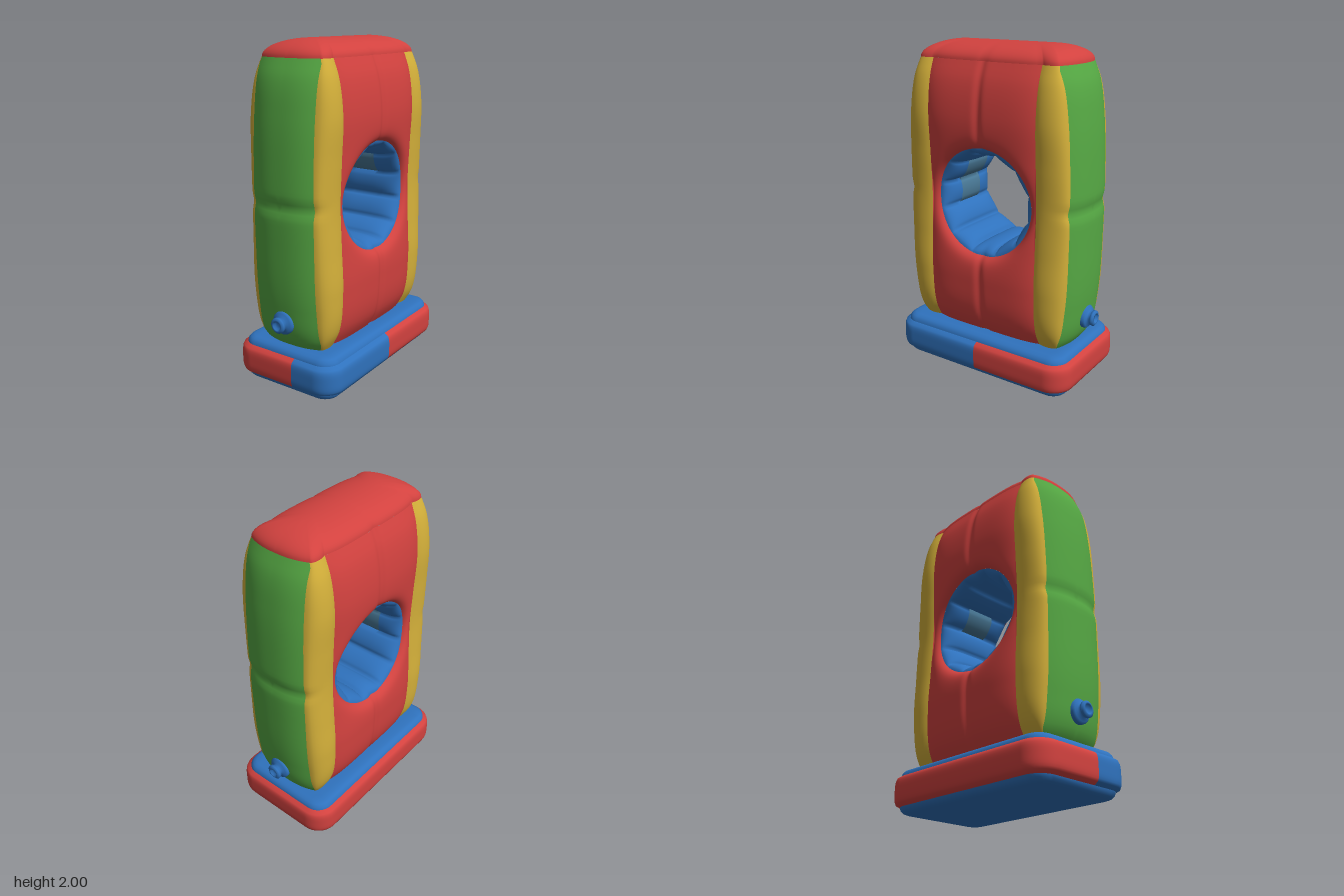
import * as THREE from 'three';
import { mergeGeometries, mergeVertices } from 'three/addons/utils/BufferGeometryUtils.js';

const mat = (name, color) => new THREE.MeshStandardMaterial({ name, color });

const HOLE_Y = 1.085, HOLE_R = 0.325, BOTTOM = 0.25, TOP = 1.9, SIDE_Z = 0.37;

// Height curves: half width of the body and how far its ends reach forward
const curve = (xs, ys) => {
  const c = new THREE.CubicInterpolant(xs, ys, 1, [0]);
  return (y) => c.evaluate(y)[0];
};
const widthAt = curve(
  [0.25, 0.35, 0.6, 0.85, 1.1, 1.35, 1.6, 1.8, 1.9],
  [0.215, 0.27, 0.3, 0.29, 0.28, 0.29, 0.3, 0.27, 0.23]);
const depthAt = curve(
  [0.25, 0.3, 0.5, 0.9, 1.3, 1.6, 1.8, 1.9],
  [0.51, 0.545, 0.585, 0.603, 0.6, 0.582, 0.55, 0.51]);
const pinch = (d, w) => Math.exp(-((d / w) ** 2));

const sideX = (y, z) =>
  widthAt(y) * (1 - 0.1 * (Math.abs(z) / SIDE_Z) ** 5 - 0.04 * pinch(z, 0.025));
const frontZ = (y, x) =>
  depthAt(y) - 0.014 * pinch(y - 1.1, 0.035) - 0.045 * (Math.abs(x) / 0.21) ** 2.5;

// Surface patch from a rule fn(u, v) -> [x, y, z], optionally mirrored
function patch(fn, nu, nv, flip = false, mx = 1, mz = 1) {
  const pos = [], idx = [], turn = flip !== (mx * mz < 0);
  for (let j = 0; j <= nv; j++) {
    for (let i = 0; i <= nu; i++) {
      const [x, y, z] = fn(i / nu, j / nv);
      pos.push(x * mx, y, z * mz);
    }
  }
  for (let j = 0; j < nv; j++) {
    for (let i = 0; i < nu; i++) {
      const a = j * (nu + 1) + i, b = a + 1, c = a + nu + 1, d = c + 1;
      if (turn) idx.push(a, c, b, b, c, d);
      else idx.push(a, b, c, b, d, c);
    }
  }
  const g = new THREE.BufferGeometry();
  g.setAttribute('position', new THREE.Float32BufferAttribute(pos, 3));
  g.setIndex(idx);
  return g;
}

const SIGNS = [[1, 1], [1, -1], [-1, 1], [-1, -1]];
const mirrored = (fn, nu, nv) => SIGNS.map(([mx, mz]) => patch(fn, nu, nv, true, mx, mz));

function smoothMesh(name, patches, material) {
  const g = mergeVertices(mergeGeometries(patches), 1e-4);
  g.computeVertexNormals();
  const m = new THREE.Mesh(g, material);
  m.name = name;
  return m;
}

// Yellow corner section, running from the side panel round to the end panel
function cornerPoint(u, y) {
  const x0 = sideX(y, SIDE_Z), x1 = Math.min(0.208, widthAt(y) * 0.86), z1 = frontZ(y, x1);
  const bez = (a, b, c, d) =>
    a * (1 - u) ** 3 + 3 * b * u * (1 - u) ** 2 + 3 * c * u * u * (1 - u) + d * u ** 3;
  return [bez(x0, x0 * 1.1, x0 * 1.04, x1), y, bez(SIDE_Z, SIDE_Z + 0.05, z1 - 0.005, z1)];
}

// Green end section, from the corner to the centre line
function endPoint(u, y) {
  const x = Math.min(0.208, widthAt(y) * 0.86) * (1 - u);
  return [x, y, frontZ(y, x)];
}

// A quarter of the whole body outline at the top edge
function topOutline(u) {
  if (u <= 1 / 3) return [sideX(TOP, u * 3 * SIDE_Z), TOP, u * 3 * SIDE_Z];
  return u <= 2 / 3 ? cornerPoint(u * 3 - 1, TOP) : endPoint(u * 3 - 2, TOP);
}

const rimX = (y, z) => sideX(y, z) * 0.86;

// Side panel stretched between the round opening and its rectangular border
function sidePoint(p, q) {
  const a = Math.PI * (0.5 - p);
  const hz = Math.cos(a) * HOLE_R, hy = HOLE_Y + Math.sin(a) * HOLE_R;
  const bz = SIDE_Z * Math.min(1, p * 4, (1 - p) * 4);
  const by = THREE.MathUtils.lerp(TOP, BOTTOM, THREE.MathUtils.clamp((p - 0.25) * 2, 0, 1));
  const k = q ** 1.8;
  const z = hz + (bz - hz) * k, y = hy + (by - hy) * k;
  const d = Math.hypot(z, y - HOLE_Y) - HOLE_R;
  const round = q === 1 ? 0 : 0.14 * Math.exp(-Math.max(d, 0) / 0.025);
  return [sideX(y, z) * (1 - round), y, z];
}

// Scalloped tunnel lining: a is the angle, s runs from -1 to 1 across the width
function tunnelPoint(a, s) {
  const rx = rimX(HOLE_Y + Math.sin(a) * HOLE_R, Math.cos(a) * HOLE_R);
  const inner = 0.297 - 0.035 * Math.sqrt(Math.abs(Math.cos(6 * a)));
  const r = HOLE_R - (HOLE_R - inner) * Math.sqrt(Math.max(0, 1 - s ** 4));
  return [s * rx, HOLE_Y + Math.sin(a) * r, Math.cos(a) * r];
}

// Base outline: core points with outward directions
function baseOutline() {
  const cx = 0.225, cz = 0.485, out = [[0.08, cz, 0, 1]];
  const corners = [[1, 1, 90], [1, -1, 0], [-1, -1, -90], [-1, 1, -180]];
  corners.forEach(([sx, sz, start], i) => {
    for (let k = 0; k <= 8; k++) {
      const a = THREE.MathUtils.degToRad(start - k * 11.25);
      out.push([sx * cx, sz * cz, Math.cos(a), Math.sin(a)]);
    }
    if (i === 0) out.push([cx, 0, 1, 0]);
  });
  out.push(out[0]);
  return out;
}

// Sweep a profile of [radius, y, coreScale] along part of the base outline
function baseStrip(profile, from, to) {
  const line = baseOutline().slice(from, to);
  const nu = line.length - 1, nv = profile.length - 1;
  return patch((u, v) => {
    const [cx, cz, nx, nz] = line[Math.round(u * nu)];
    const [r, y, k] = profile[Math.round(v * nv)];
    return [cx * k + nx * r, y, cz * k + nz * r];
  }, nu, nv);
}

export function createModel() {
  const red = mat('red', 0xd2423f), green = mat('green', 0x56a944);
  const yellow = mat('yellow', 0xd4b03a), blue = mat('blue', 0x2f72bd);
  const steel = mat('steelBlue', 0x4a7a98);
  const model = new THREE.Group();
  model.name = 'inflatableTower';

  // Upright body
  const yAt = (v) => BOTTOM + (TOP - BOTTOM) * v;
  model.add(smoothMesh('sidePanels', mirrored(sidePoint, 128, 24), red));
  model.add(smoothMesh('cornerColumns', mirrored((u, v) => cornerPoint(u, yAt(v)), 10, 64), yellow));
  model.add(smoothMesh('endPanels', mirrored((u, v) => endPoint(u, yAt(v)), 10, 64), green));

  // Domed top cushion
  model.add(smoothMesh('topCushion', mirrored((u, v) => {
    const [x, y, z] = topOutline(u), t = 1 - Math.cos(v * Math.PI / 2);
    return [x * (1 - t), y + 0.1 * Math.sin(v * Math.PI / 2), z * (1 - 0.42 * t)];
  }, 36, 14), red));

  // Tunnel of twelve padded cells, a few with a pale centre patch
  const lining = [], patches = [], bands = [[-1, -0.4], [-0.4, 0.4], [0.4, 1]];
  for (let c = 0; c < 12; c++) {
    bands.forEach(([s0, s1], b) => {
      const g = patch((u, v) => tunnelPoint(
        (c - 0.5 + u) * Math.PI / 6, s0 + (s1 - s0) * (b === 0 ? v * v : b === 2 ? 1 - (1 - v) ** 2 : v)), 10, 8);
      (b === 1 && [0, 1, 5].includes(c) ? patches : lining).push(g);
    });
  }
  model.add(smoothMesh('tunnelLining', lining, blue));
  model.add(smoothMesh('tunnelPatches', patches, steel));

  // Base cushion with a two-coloured bulging band
  const top = [[0.1, 0.22, 1], [0.096, 0.236, 1], [0.082, 0.251, 1], [0.06, 0.259, 1], [0.02, 0.261, 1], [0, 0.261, 0]];
  const bottom = top.map(([r, y, k]) => [r, 0.261 - y, k]).reverse();
  const band = [];
  for (let i = 0; i <= 12; i++) {
    const t = -1 + i / 6;
    band.push([0.1 + 0.035 * Math.sqrt(1 - t ** 4), 0.13 + 0.09 * t, 1]);
  }
  model.add(smoothMesh('baseTop', [baseStrip(top)], blue));
  model.add(smoothMesh('baseBottom', [baseStrip(bottom)], blue));
  model.add(smoothMesh('baseBandBlue', [baseStrip(band, 0, 11)], blue));
  model.add(smoothMesh('baseBandRed', [baseStrip(band, 10)], red));

  // Air valves at both ends
  const valveProfile = [[0.07, -0.01], [0.07, 0.014], [0.06, 0.026], [0.04, 0.03], [0.034, 0.044],
    [0.046, 0.048], [0.047, 0.062], [0.036, 0.07], [0.026, 0.07], [0.022, 0.055], [0, 0.055]];
  const valve = new THREE.LatheGeometry(valveProfile.map(([r, y]) => new THREE.Vector2(r, y)), 28);
  for (const s of [1, -1]) {
    const m = new THREE.Mesh(valve, blue);
    m.name = s > 0 ? 'frontValve' : 'backValve';
    m.rotation.x = s * Math.PI / 2;
    m.position.set(0, 0.42, s * 0.57);
    model.add(m);
  }
  return model;
}
